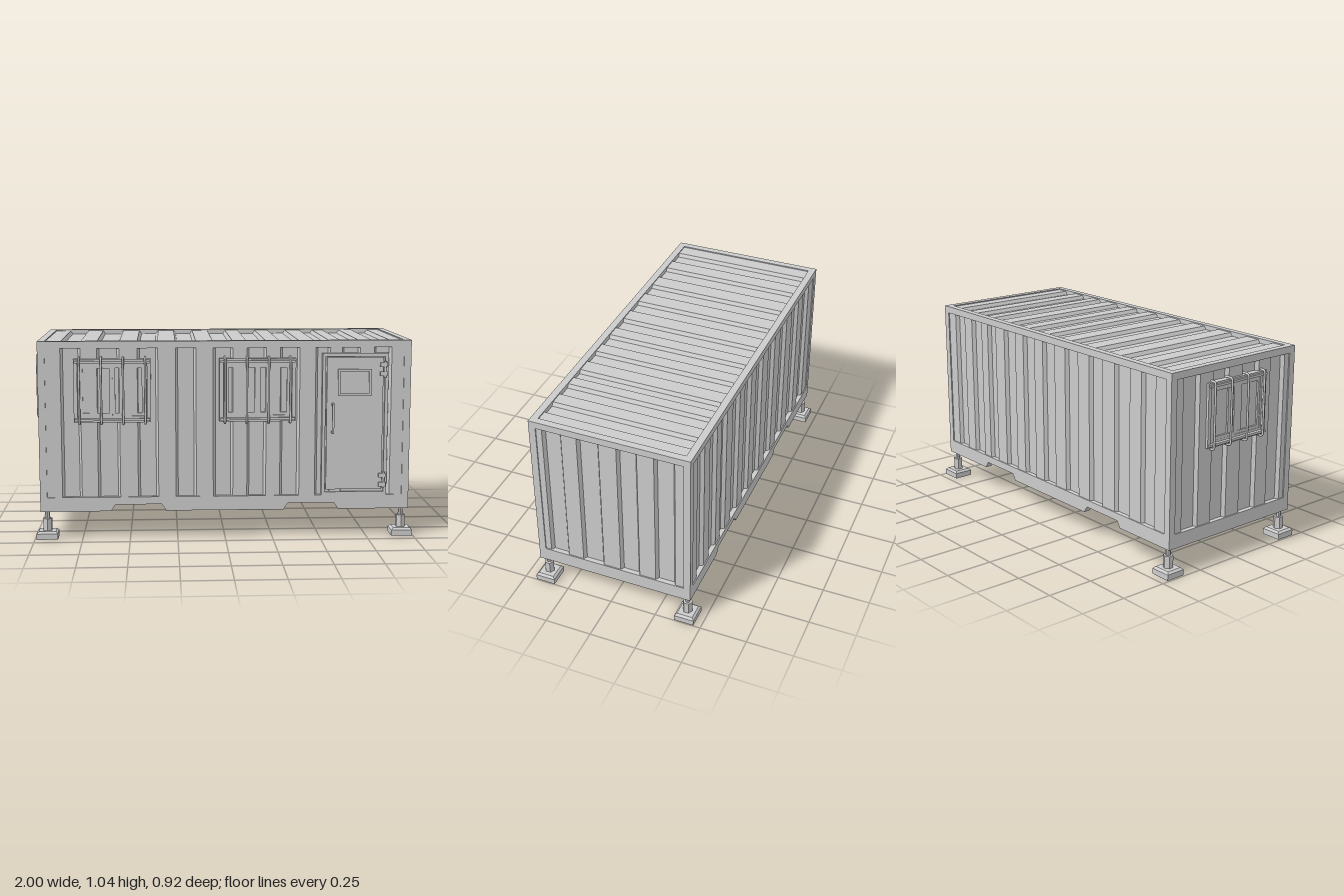
import * as THREE from 'three';

const mat = new THREE.MeshStandardMaterial({ color: 0xcccccc, flatShading: true });
const smooth = new THREE.MeshStandardMaterial({ color: 0xcccccc });

// Body limits
const X0 = -0.97, X1 = 0.975, Z0 = -0.435, Z1 = 0.415, Y0 = 0.145, Y1 = 1.04;
const SILL = 0.22, T = 0.037;
const MX = (X0 + X1) / 2, MZ = (Z0 + Z1) / 2;

function add(parent, name, geo, x = 0, y = 0, z = 0, material = mat) {
  const m = new THREE.Mesh(geo, material);
  m.name = name;
  m.position.set(x, y, z);
  parent.add(m);
  return m;
}

// Box given by its min and max corners
function block(parent, name, x0, x1, y0, y1, z0, z1) {
  return add(parent, name, new THREE.BoxGeometry(x1 - x0, y1 - y0, z1 - z0),
    (x0 + x1) / 2, (y0 + y1) / 2, (z0 + z1) / 2);
}

// Rectangular ring centred on the origin, from z = 0 to z = depth
function ring(w, h, t, depth) {
  const rect = (C, a, b) => new C([[-a, -b], [a, -b], [a, b], [-a, b]].map(p => new THREE.Vector2(...p)));
  const s = rect(THREE.Shape, w / 2, h / 2);
  s.holes.push(rect(THREE.Path, w / 2 - t, h / 2 - t));
  return new THREE.ExtrudeGeometry(s, { depth, bevelEnabled: false });
}

// Corrugated sheet: profile along x, outside towards +y, extruded along +z.
// Each ramp steps alternately in and out.
function sheet(a, b, ramps, height) {
  const s = new THREE.Shape();
  s.moveTo(a, -0.036);
  s.lineTo(b, -0.036);
  s.lineTo(b, -0.006);
  const levels = [-0.006, -0.025];
  for (let i = ramps.length - 1; i >= 0; i--) {
    s.lineTo(ramps[i] + 0.006, levels[(i + 1) % 2]);
    s.lineTo(ramps[i] - 0.006, levels[i % 2]);
  }
  s.lineTo(a, -0.006);
  s.closePath();
  return new THREE.ExtrudeGeometry(s, { depth: height, bevelEnabled: false });
}

// Bottom side rail with two fork pockets
function pocketRail() {
  const s = new THREE.Shape();
  s.moveTo(X0, Y0);
  for (const c of [-0.455, 0.455]) {
    s.lineTo(c - 0.145, Y0);
    s.lineTo(c - 0.122, 0.18);
    s.lineTo(c + 0.122, 0.18);
    s.lineTo(c + 0.145, Y0);
  }
  s.lineTo(X1, Y0);
  s.lineTo(X1, SILL);
  s.lineTo(X0, SILL);
  s.closePath();
  return new THREE.ExtrudeGeometry(s, { depth: T, bevelEnabled: false });
}

// Security bar bent back to the wall at both ends
function barGeometry(half, out, r) {
  const v = (y, z) => new THREE.Vector3(0, y, z);
  const p = new THREE.CurvePath();
  p.add(new THREE.LineCurve3(v(half, -0.02), v(half, out - r)));
  p.add(new THREE.QuadraticBezierCurve3(v(half, out - r), v(half, out), v(half - r, out)));
  p.add(new THREE.LineCurve3(v(half - r, out), v(r - half, out)));
  p.add(new THREE.QuadraticBezierCurve3(v(r - half, out), v(-half, out), v(-half, out - r)));
  p.add(new THREE.LineCurve3(v(-half, out - r), v(-half, -0.02)));
  return new THREE.TubeGeometry(p, 80, 0.006, 8);
}

// Barred sliding window facing +z, wall face at z = 0
function makeWindow() {
  const g = new THREE.Group();
  g.name = 'window';
  add(g, 'windowFrame', ring(0.4, 0.33, 0.02, 0.04), 0, 0, -0.032);
  add(g, 'windowInnerFrame', ring(0.362, 0.292, 0.014, 0.03), 0, 0, -0.03);
  block(g, 'glass', -0.18, 0.18, -0.145, 0.145, -0.03, -0.012);
  for (const [x, z] of [[-0.084, -0.014], [0.084, -0.016]])
    add(g, 'sash', ring(0.17, 0.266, 0.016, 0.013), x, 0, z);
  const bar = barGeometry(0.172, 0.024, 0.016);
  for (const x of [-0.171, -0.057, 0.057, 0.171]) add(g, 'securityBar', bar, x, 0, 0, smooth);
  for (const y of [-0.15, 0.15]) block(g, 'crossBar', -0.195, 0.195, y - 0.006, y + 0.006, 0.008, 0.02);
  return g;
}

function makeDoor() {
  const g = new THREE.Group();
  g.name = 'door';
  const cx = 0.682, cy = 0.597;
  add(g, 'doorFrame', ring(0.346, 0.752, 0.017, 0.04), cx, cy, Z1 - 0.034);
  block(g, 'doorBacking', 0.515, 0.85, 0.225, 0.965, Z1 - 0.034, Z1 - 0.008);
  block(g, 'doorLeaf', 0.532, 0.828, 0.252, 0.952, Z1 - 0.02, Z1 + 0.008);
  // Small vision panel
  add(g, 'doorWindowFrame', ring(0.175, 0.14, 0.012, 0.014), 0.677, 0.82, Z1 + 0.002);
  // Pull handle
  block(g, 'handleGrip', 0.557, 0.568, 0.555, 0.712, Z1 + 0.035, Z1 + 0.045);
  for (const y of [0.555, 0.702]) block(g, 'handleArm', 0.557, 0.568, y, y + 0.01, Z1, Z1 + 0.04);
  // Hinges
  for (const y of [0.303, 0.89]) {
    add(g, 'hingePin', new THREE.CylinderGeometry(0.007, 0.007, 0.085, 10), 0.836, y, Z1 + 0.015, smooth);
    for (const s of [-0.024, 0.024])
      block(g, 'hingeLeaf', 0.81, 0.848, y + s - 0.011, y + s + 0.011, Z1 + 0.002, Z1 + 0.022);
  }
  return g;
}

function makeFoot() {
  const g = new THREE.Group();
  g.name = 'levellingFoot';
  block(g, 'footPlate', -0.056, 0.056, 0, 0.03, -0.053, 0.053);
  const top = new THREE.CylinderGeometry(0.042 * Math.SQRT2, 0.053 * Math.SQRT2, 0.011, 4);
  top.rotateY(Math.PI / 4);
  add(g, 'footBevel', top, 0, 0.0355, 0).scale.x = 1.056;
  add(g, 'jackSleeve', new THREE.CylinderGeometry(0.026, 0.026, 0.065, 6), 0, 0.0725, 0);
  add(g, 'jackScrew', new THREE.CylinderGeometry(0.013, 0.013, 0.08, 8), 0, 0.14, 0);
  return g;
}

export function createModel() {
  const model = new THREE.Group();
  model.name = 'containerCabin';

  // Steel frame
  for (const x of [X0, X1 - T]) {
    for (const z of [Z0, Z1 - T]) block(model, 'cornerPost', x, x + T, SILL, Y1 - T, z, z + T);
    block(model, 'topEndRail', x, x + T, Y1 - T, Y1, Z0 + T, Z1 - T);
    block(model, 'bottomEndRail', x, x + T, Y0, SILL, Z0 + T, Z1 - T);
  }
  for (const z of [Z0, Z1 - T]) {
    block(model, 'topSideRail', X0, X1, Y1 - T, Y1, z, z + T);
    add(model, 'bottomSideRail', pocketRail(), 0, 0, z);
  }

  // Corrugated roof, floor and walls
  const long = [-0.847, -0.756, -0.659, -0.555, -0.45, -0.355, -0.252, -0.157, -0.056, 0.035,
    0.121, 0.209, 0.295, 0.385, 0.48, 0.545, 0.618, 0.702, 0.787, 0.867];
  const short = [-0.341, -0.25, -0.155, -0.05, 0.055, 0.15, 0.25, 0.346];
  const H = Y1 - T - SILL, D = Z1 - Z0 - 2 * T, a = X0 + T, b = X1 - T, Q = Math.PI / 2;
  add(model, 'roof', sheet(a, b, long, D), 0, Y1, Z0 + T);
  add(model, 'floor', sheet(a, b, long, D).rotateX(2 * Q), 0, 0.19, Z1 - T);
  add(model, 'frontWall', sheet(a, b, long, H).rotateX(Q), 0, Y1 - T, Z1);
  add(model, 'backWall', sheet(a, b, long, H).rotateX(-Q), 0, SILL, Z0);
  add(model, 'leftWall', sheet(T - Z1, -Z0 - T, short, H).rotateX(Q).rotateY(Q), X1, Y1 - T, 0);
  const mirrored = short.map(v => -v).reverse();
  add(model, 'rightWall', sheet(Z0 + T, Z1 - T, mirrored, H).rotateX(Q).rotateY(-Q), X0, Y1 - T, 0);

  // Windows: two in front, one in the right end
  for (const [x, z, turn] of [[-0.586, Z1, 0], [0.17, Z1, 0], [X0, 0.002, -Q]]) {
    const w = makeWindow();
    w.position.set(x, 0.783, z);
    w.rotation.y = turn;
    model.add(w);
  }
  model.add(makeDoor());

  // Levelling feet at the corners
  for (const sx of [-1, 1]) for (const sz of [-1, 1]) {
    const foot = makeFoot();
    foot.position.set(MX + sx * 0.938, 0, MZ - 0.002 + sz * 0.396);
    model.add(foot);
  }
  return model;
}
